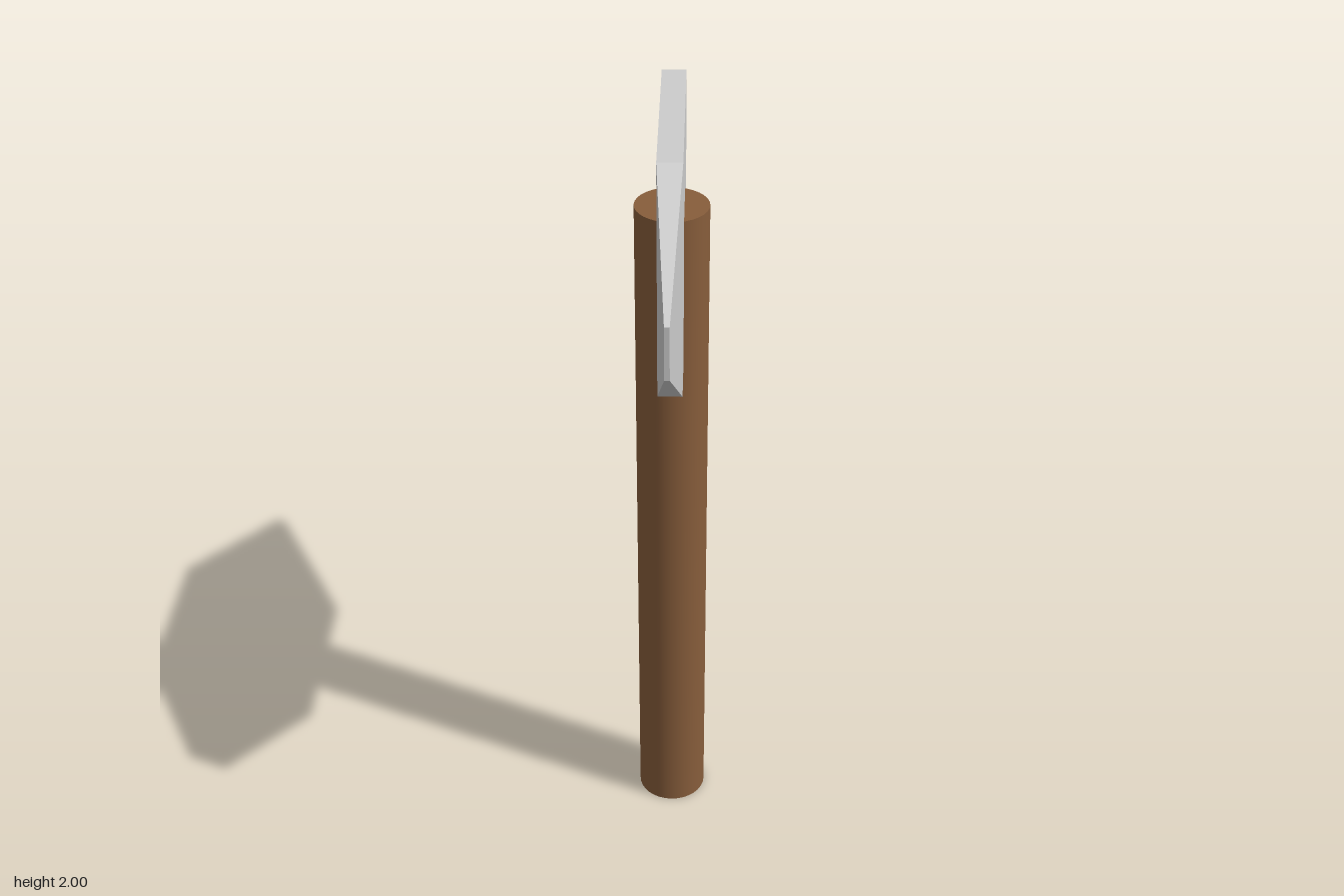
import * as THREE from 'three';

// Solid lofted through rectangular sections, listed from front (+z) to back.
function loftSections(sections) {
  const points = [];
  for (const { z, half, bottom, top } of sections) {
    points.push(half, top, z, -half, top, z, -half, bottom, z, half, bottom, z);
  }
  const index = [0, 1, 2, 0, 2, 3]; // front cap
  for (let s = 0; s < sections.length - 1; s++) {
    for (let k = 0; k < 4; k++) {
      const a = s * 4 + k;
      const b = s * 4 + ((k + 1) % 4);
      index.push(a, a + 4, b, b, a + 4, b + 4);
    }
  }
  const e = (sections.length - 1) * 4;
  index.push(e, e + 2, e + 1, e, e + 3, e + 2); // back cap

  const indexed = new THREE.BufferGeometry();
  indexed.setAttribute('position', new THREE.Float32BufferAttribute(points, 3));
  indexed.setIndex(index);
  const geometry = indexed.toNonIndexed();
  geometry.computeVertexNormals();
  return geometry;
}

export function createModel() {
  const model = new THREE.Group();
  model.name = 'hammer';

  // Round wooden handle, standing slightly forward of the head's middle
  const handleHeight = 1.78;
  const handle = new THREE.Mesh(
    new THREE.CylinderGeometry(0.088, 0.088, handleHeight, 32),
    new THREE.MeshStandardMaterial({ color: 0x875d3b })
  );
  handle.name = 'handle';
  handle.position.set(0, handleHeight / 2, 0.04);
  model.add(handle);

  // Flat head: blunt narrow edge in front, sharper point behind
  const head = new THREE.Mesh(
    loftSections([
      { z: 0.577, half: 0.006, bottom: 1.64, top: 1.77 },
      { z: 0.277, half: 0.029, bottom: 1.41, top: 2 },
      { z: -0.216, half: 0.029, bottom: 1.41, top: 2 },
      { z: -0.577, half: 0.001, bottom: 1.69, top: 1.725 },
    ]),
    new THREE.MeshStandardMaterial({ color: 0xcccccc, flatShading: true })
  );
  head.name = 'head';
  model.add(head);

  return model;
}
